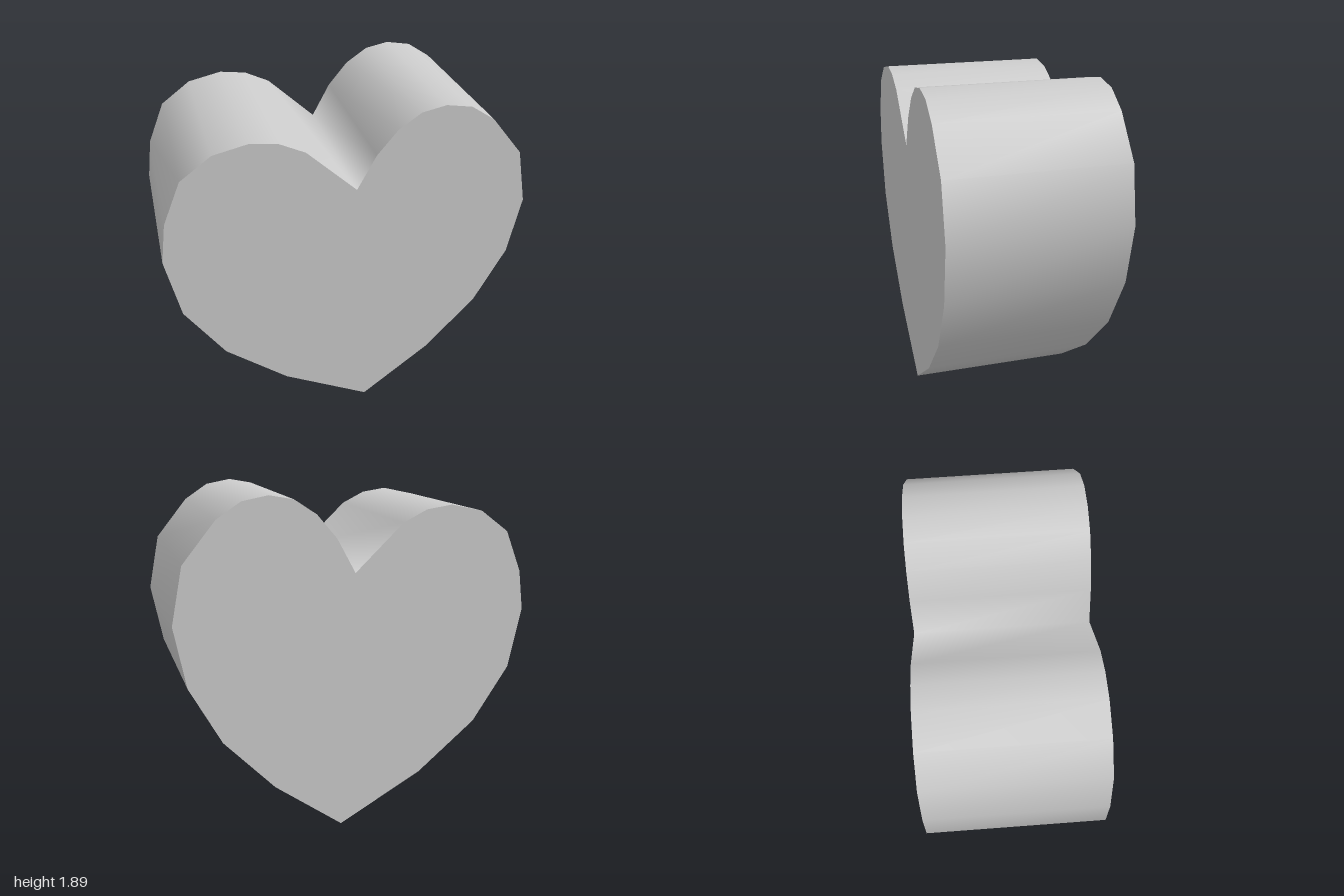
import * as THREE from 'three';

const HALF_DEPTH = 0.475;

// Heart outline, counter-clockwise from the bottom tip
const OUTLINE = [
  [0.105, 0], [0.49, 0.295], [0.77, 0.6], [0.94, 0.925], [1, 1.26], [0.937, 1.565],
  [0.76, 1.78], [0.63, 1.865], [0.49, 1.89], [0.36, 1.865], [0.24, 1.785], [0.13, 1.655],
  [0.028, 1.468], // notch between the lobes
  [-0.24, 1.72], [-0.375, 1.785], [-0.52, 1.805], [-0.705, 1.765], [-0.87, 1.645],
  [-0.967, 1.415], [-1, 1.19], [-0.93, 0.845], [-0.72, 0.53], [-0.38, 0.255],
];

// Flat heart-shaped face looking along +z
function capGeometry(mirror) {
  const points = OUTLINE.map(([x, y]) => new THREE.Vector2(x * mirror, y));
  return new THREE.ShapeGeometry(new THREE.Shape(points));
}

// Smooth-shaded band joining the two faces
function wallGeometry() {
  const n = OUTLINE.length;
  const positions = [];
  const indices = [];
  for (const z of [HALF_DEPTH, -HALF_DEPTH]) {
    for (const [x, y] of OUTLINE) positions.push(x, y, z);
  }
  for (let i = 0; i < n; i++) {
    const j = (i + 1) % n;
    indices.push(i, n + j, j, i, n + i, n + j);
  }
  const geometry = new THREE.BufferGeometry();
  geometry.setAttribute('position', new THREE.Float32BufferAttribute(positions, 3));
  geometry.setIndex(indices);
  geometry.computeVertexNormals();
  return geometry;
}

export function createModel() {
  const group = new THREE.Group();
  group.name = 'heart';
  const material = new THREE.MeshStandardMaterial({ color: 0xcccccc });

  const add = (name, geometry) => {
    const mesh = new THREE.Mesh(geometry, material);
    mesh.name = name;
    group.add(mesh);
  };

  add('sideWall', wallGeometry());
  add('frontFace', capGeometry(1).translate(0, 0, HALF_DEPTH));
  // Mirrored outline, turned round to face backwards
  add('backFace', capGeometry(-1).rotateY(Math.PI).translate(0, 0, -HALF_DEPTH));

  return group;
}
